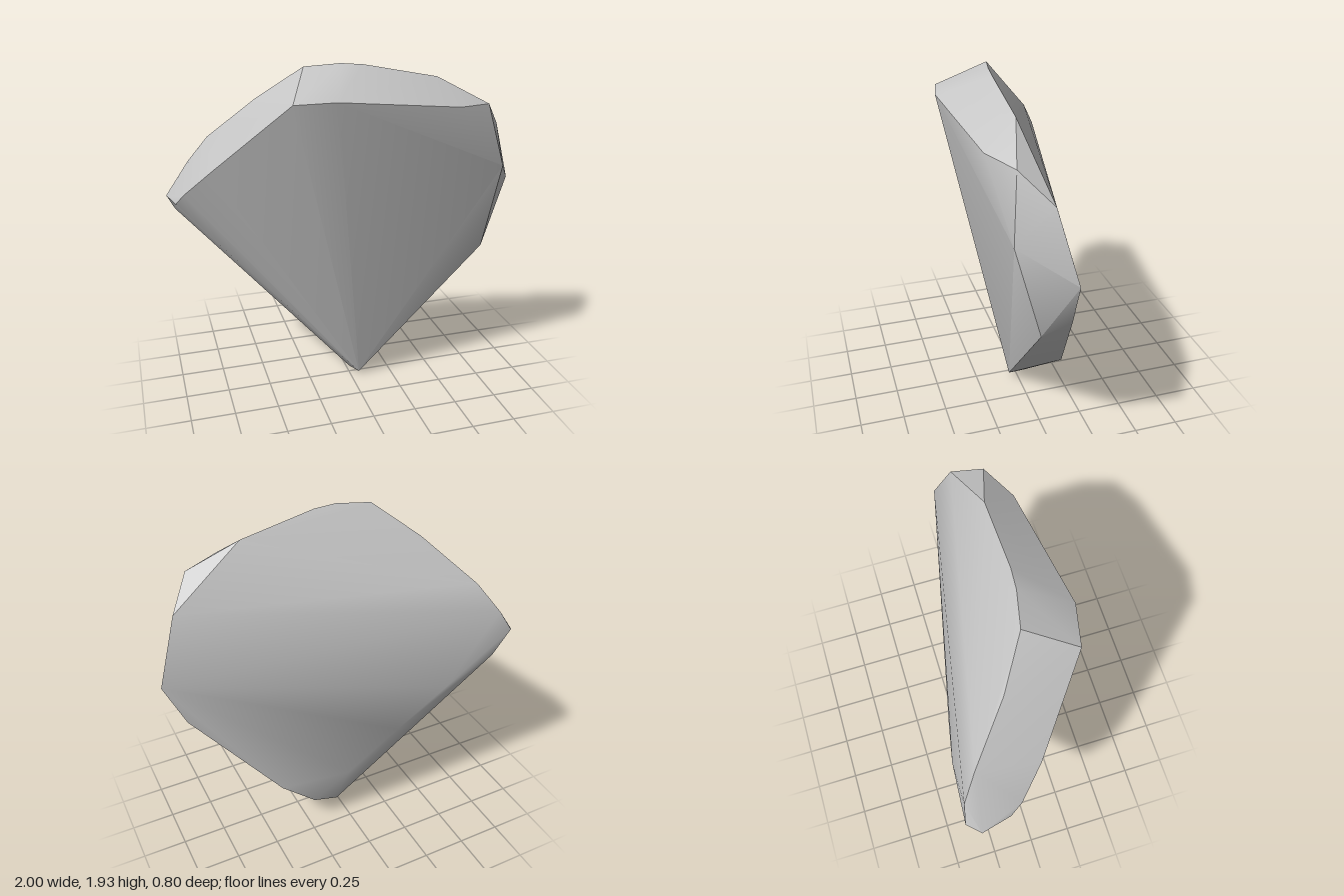
import * as THREE from 'three';
import { toCreasedNormals } from 'three/addons/utils/BufferGeometryUtils.js';
import { ConvexGeometry } from 'three/addons/geometries/ConvexGeometry.js';

// Corners of the chipped stone, grouped by region
const frontRim = [
  [-0.92, 1.22, -0.09], [-0.78, 1.38, 0.05], [-0.39, 1.78, 0.35], [-0.17, 1.79, 0.395],
  [0.53, 1.705, 0.31], [0.74, 1.69, 0.21], [0.83, 1.34, 0.25], [0.8, 0.8, 0.1],
];
const backRim = [
  [-0.94, 1.2, -0.4], [-0.86, 1.33, -0.38], [-0.75, 1.49, -0.29], [-0.5, 1.74, -0.07],
  [-0.27, 1.92, 0.08], [-0.08, 1.935, 0.12], [0.04, 1.925, 0.13], [0.46, 1.84, 0.13],
  [0.87, 1.54, 0.06], [1, 1.18, -0.02], [0.89, 0.92, -0.03], [0.41, 0.33, -0.16],
];
const lowerEdge = [
  [-1, 1.15, -0.33], [-0.96, 1.15, -0.16], [-0.96, 1.09, -0.26], [-0.84, 1.05, -0.39],
  [-0.55, 0.9, -0.37], [-0.27, 0.65, -0.32], [0.02, 0.38, -0.26], [0.22, 0.18, -0.2],
];
const tip = [[0.05, 0.09, -0.16], [0.02, 0, -0.06], [0.05, 0.02, 0.05]];

export function createModel() {
  const group = new THREE.Group();
  const stone = new THREE.MeshStandardMaterial({ color: 0xc5c5c5 });
  stone.name = 'stone grey';

  // Convex hull with blended shallow facets and crisp main edges
  const corners = [...frontRim, ...backRim, ...lowerEdge, ...tip].map((p) => new THREE.Vector3(...p));
  const rock = new THREE.Mesh(toCreasedNormals(new ConvexGeometry(corners), 0.56), stone);
  rock.name = 'rockShard';
  group.add(rock);
  return group;
}
